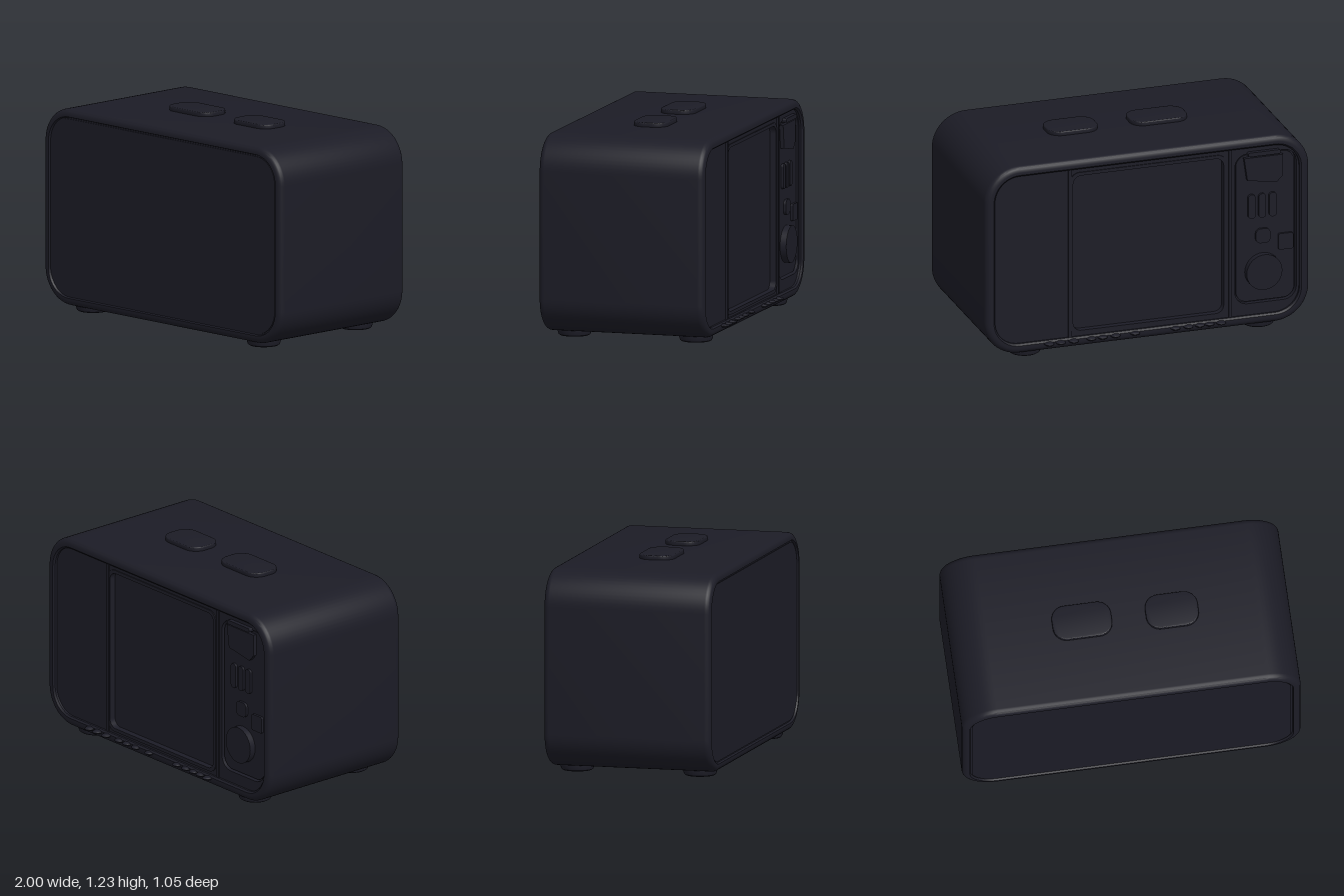
import * as THREE from 'three';
import { toCreasedNormals } from 'three/addons/utils/BufferGeometryUtils.js';

const W = 2, H = 1.17, R = 0.21, CY = 0.62;

// Rounded rectangle centred on (x, y)
function roundedRect(w, h, r, x = 0, y = 0, Type = THREE.Shape) {
  const s = new Type(), a = w / 2 - r, b = h / 2 - r;
  s.absarc(x + a, y + b, r, 0, Math.PI / 2);
  s.absarc(x - a, y + b, r, Math.PI / 2, Math.PI);
  s.absarc(x - a, y - b, r, Math.PI, Math.PI * 1.5);
  s.absarc(x + a, y - b, r, Math.PI * 1.5, Math.PI * 2);
  s.closePath();
  return s;
}

// Skin of rounded-rectangle rings, each [inset, z], from back to front
function shellGeometry(rings) {
  const pos = [], idx = [], steps = 14, n = 4 * (steps + 1);
  for (const [inset, z] of rings) {
    const r = R - inset;
    for (let c = 0; c < 4; c++) {
      const cx = (c === 0 || c === 3 ? 1 : -1) * (W / 2 - R);
      const cy = (c < 2 ? 1 : -1) * (H / 2 - R);
      for (let k = 0; k <= steps; k++) {
        const t = (c + k / steps) * Math.PI / 2;
        pos.push(cx + r * Math.cos(t), CY + cy + r * Math.sin(t), z);
      }
    }
  }
  const last = rings.length - 1, back = pos.length / 3, front = back + 1;
  pos.push(0, CY, rings[0][1], 0, CY, rings[last][1]);
  for (let j = 0; j < n; j++) {
    const k = (j + 1) % n;
    for (let i = 0; i < last; i++) {
      const a = i * n + j, b = i * n + k;
      idx.push(a, b, b + n, a, b + n, a + n);
    }
    idx.push(back, k, j, front, last * n + j, last * n + k);
  }
  const g = new THREE.BufferGeometry();
  g.setAttribute('position', new THREE.Float32BufferAttribute(pos, 3));
  g.setIndex(idx);
  return toCreasedNormals(g, 0.6);
}

export function createModel() {
  const model = new THREE.Group();
  const plastic = new THREE.MeshStandardMaterial({ color: 0x1c1c26 });
  plastic.name = 'dark plastic';

  const add = (name, geometry, x = 0, y = 0, z = 0) => {
    const m = new THREE.Mesh(geometry, plastic);
    m.name = name;
    m.position.set(x, y, z);
    model.add(m);
    return m;
  };
  // Plate standing in the xy plane between two depths
  const plate = (name, shape, zBack, zFront) => add(name,
    new THREE.ExtrudeGeometry(shape, { depth: zFront - zBack, bevelEnabled: false, curveSegments: 12 }), 0, 0, zBack);

  // Casing with a softened edge, shallow front recess and deeper back recess
  const rings = [[0.06, -0.43], [0.06, -0.475], [0.05, -0.485]];
  const e = 0.035;
  for (let i = 0; i <= 5; i++) {
    const t = i / 5 * Math.PI / 2;
    rings.push([e * (1 - Math.sin(t)), -0.485 + e * (1 - Math.cos(t))]);
  }
  for (let i = 0; i <= 5; i++) {
    const t = i / 5 * Math.PI / 2;
    rings.push([e * (1 - Math.cos(t)), 0.525 - e * (1 - Math.sin(t))]);
  }
  rings.push([0.045, 0.525], [0.05, 0.512]);
  add('casing', shellGeometry(rings));

  // Front panel, parted from the rim by a narrow groove
  plate('frontPanel', roundedRect(W - 0.116, H - 0.116, R - 0.058, 0, CY), 0.505, 0.517);

  // Back plate with a large pocket and a port bay
  const pocket = () => roundedRect(0.93, 0.97, 0.05, -0.01, 0.615, THREE.Path);
  const backShape = roundedRect(W - 0.12, H - 0.12, R - 0.06, 0, CY);
  backShape.holes.push(pocket(), roundedRect(0.38, 0.94, 0.08, -0.735, 0.635, THREE.Path));
  plate('backPlate', backShape, -0.462, -0.425);

  // Raised frame around the pocket, with full-height ribs on both sides
  const frame = roundedRect(0.97, 1.01, 0.06, -0.01, 0.615);
  frame.holes.push(pocket());
  plate('pocketFrame', frame, -0.468, -0.46);
  for (const x of [0.475, -0.515]) {
    add('backRib', new THREE.BoxGeometry(0.02, H - 0.12, 0.015), x, CY, -0.4645);
  }

  // Port bay floor and its fittings
  plate('portBayFloor', roundedRect(0.36, 0.92, 0.07, -0.735, 0.635), -0.45, -0.42);
  const dial = new THREE.CylinderGeometry(0.11, 0.11, 0.045, 32).rotateX(Math.PI / 2);
  add('roundPort', dial, -0.72, 0.36, -0.465);
  const tray = new THREE.Shape([[-0.84, 0.95], [-0.8, 0.91], [-0.62, 0.94], [-0.6, 1.08], [-0.84, 1.08]]
    .map(([x, y]) => new THREE.Vector2(x, y)));
  plate('upperPort', tray, -0.472, -0.44);
  plate('upperPortLip', roundedRect(0.2, 0.025, 0.01, -0.72, 1.105), -0.487, -0.44);
  plate('smallPort', roundedRect(0.09, 0.1, 0.01, -0.86, 0.53), -0.465, -0.44);
  for (let i = 0; i < 3; i++) {
    plate('slimPort', roundedRect(0.045, 0.15, 0.02, -0.65 - i * 0.065, 0.77), -0.465, -0.44);
  }
  plate('lowerSlimPort', roundedRect(0.09, 0.09, 0.03, -0.72, 0.58), -0.465, -0.44);

  // Small nubs along the lower back edge
  for (const x of [-0.45, -0.38, -0.32, -0.25, -0.17, 0.08, 0.2, 0.28, 0.35, 0.46, 0.54, 0.61]) {
    const nub = add('backNub', new THREE.SphereGeometry(1, 10, 8), x, 0.078, -0.485);
    nub.scale.set(0.03, 0.011, Math.abs(x) > 0.44 ? 0.04 : 0.03);
  }

  // Top buttons
  for (const [x, z, w] of [[-0.225, 0.02, 0.35], [0.305, 0.025, 0.31]]) {
    const b = 0.006;
    const g = new THREE.ExtrudeGeometry(roundedRect(w - 2 * b, 0.21 - 2 * b, 0.075),
      { depth: 0.018, bevelThickness: b, bevelSize: b, bevelSegments: 3, curveSegments: 10 });
    g.rotateX(-Math.PI / 2);
    add('topButton', toCreasedNormals(g, 0.6), x, 1.206, z);
  }

  // Feet
  const footProfile = [[0, 0], [0.085, 0], [0.094, 0.006], [0.1, 0.025], [0.1, 0.06]]
    .map(([x, y]) => new THREE.Vector2(x, y));
  for (const x of [-0.72, 0.72]) {
    for (const z of [0.39, -0.355]) {
      add('foot', toCreasedNormals(new THREE.LatheGeometry(footProfile, 28), 0.6), x, 0, z);
    }
  }
  return model;
}
